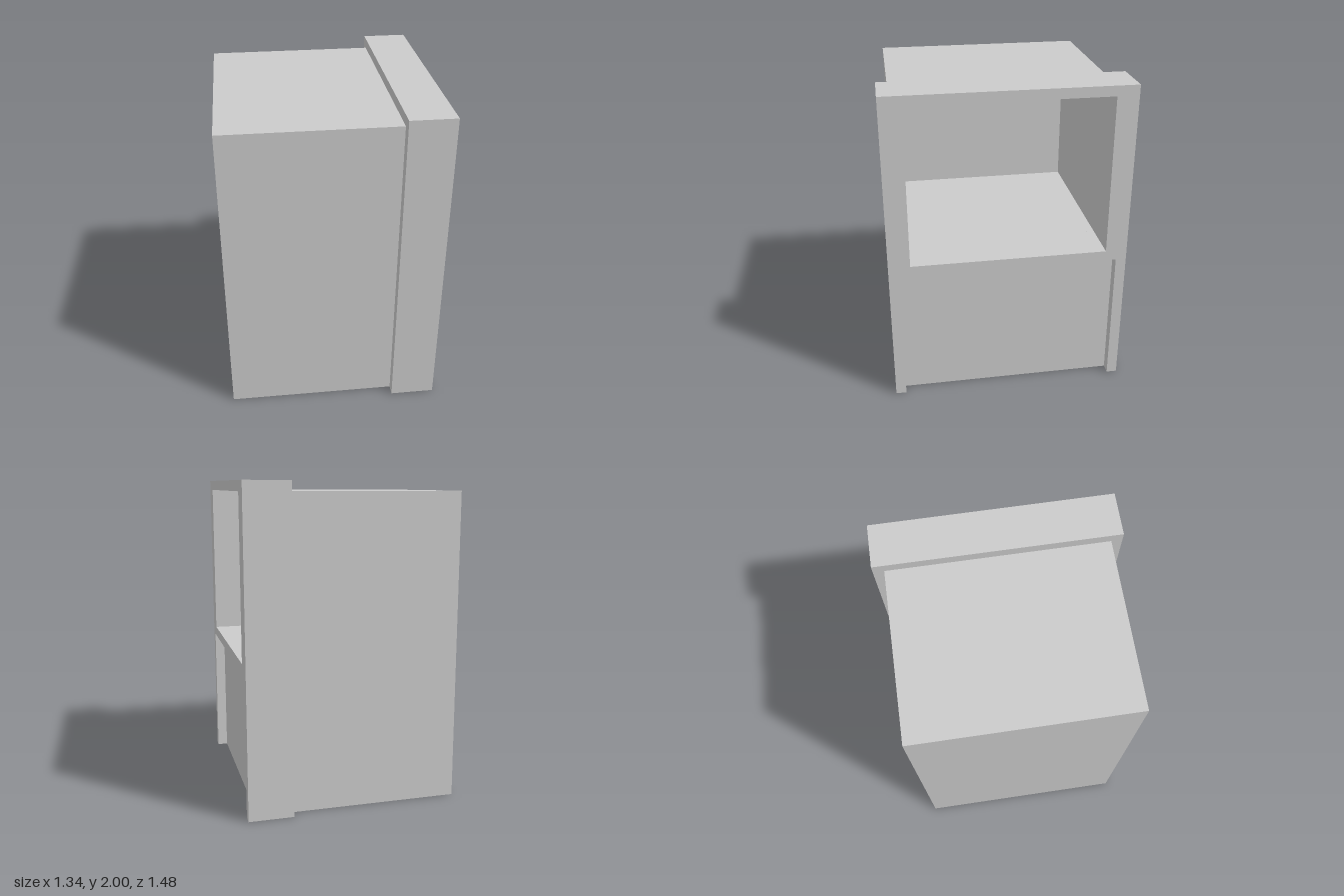
import * as THREE from 'three';

const BACK = -0.67, FRONT = 0.67, FRAME_X = 0.39, PANEL_X = 0.605;
const CAVITY_BACK = -0.605, FLOOR = 0.937, CEILING = 1.937, DROP = 0.067;
const CAVITY_Z = 0.607;

// Upper opening, cut through every slice in front of the back wall
function opening() {
  return new THREE.Path([
    new THREE.Vector2(-CAVITY_Z, FLOOR),
    new THREE.Vector2(-CAVITY_Z, CEILING),
    new THREE.Vector2(CAVITY_Z, CEILING),
    new THREE.Vector2(CAVITY_Z, FLOOR),
  ]);
}

function outline(points) {
  return new THREE.Shape(points.map(([z, y]) => new THREE.Vector2(z, y)));
}

const rect = (halfZ, top) => outline([[-halfZ, 0], [halfZ, 0], [halfZ, top], [-halfZ, top]]);

// Extrude a cross-section along x; the cavity ceiling slopes down to the back
function slice(name, shape, x0, x1, hollow, material) {
  if (hollow) shape.holes.push(opening());
  const geometry = new THREE.ExtrudeGeometry(shape, { depth: x1 - x0, bevelEnabled: false });
  geometry.rotateY(Math.PI / 2).translate(x0, 0, 0);
  if (hollow) {
    const p = geometry.attributes.position;
    for (let i = 0; i < p.count; i++) {
      const onCeiling = Math.abs(p.getY(i) - CEILING) < 1e-4 && Math.abs(p.getZ(i)) < CAVITY_Z + 1e-4;
      if (onCeiling) p.setY(i, CEILING - DROP * (FRONT - p.getX(i)) / (FRONT - CAVITY_BACK));
    }
    geometry.computeVertexNormals();
  }
  const mesh = new THREE.Mesh(geometry, material);
  mesh.name = name;
  return mesh;
}

export function createModel() {
  const group = new THREE.Group();
  group.name = 'cabinet';
  const material = new THREE.MeshStandardMaterial({ color: 0xcccccc, flatShading: true });

  // Front frame face with a notch around the recessed lower panel
  const notched = outline([
    [-0.74, 0], [-0.675, 0], [-0.675, 0.873], [0.675, 0.873],
    [0.675, 0], [0.74, 0], [0.74, 2], [-0.74, 2],
  ]);

  group.add(
    slice('backWall', rect(0.673, 1.938), BACK, CAVITY_BACK, false, material),
    slice('body', rect(0.673, 1.938), CAVITY_BACK, FRAME_X, true, material),
    slice('frameWithLowerPanel', rect(0.74, 2), FRAME_X, PANEL_X, true, material),
    slice('frameFace', notched, PANEL_X, FRONT, true, material),
  );
  return group;
}
